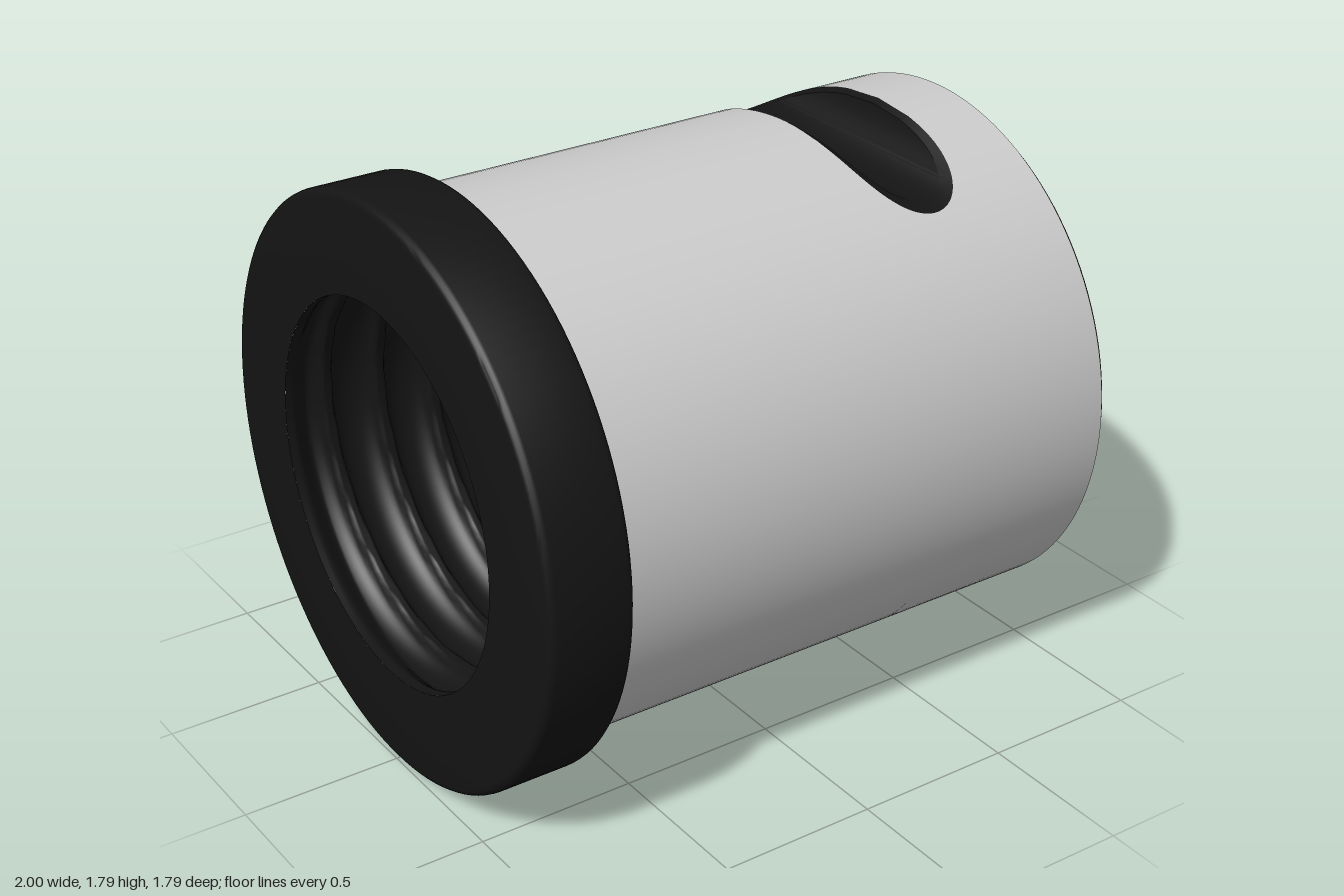
import * as THREE from 'three';
import { mergeVertices, toCreasedNormals } from 'three/addons/utils/BufferGeometryUtils.js';

const FLANGE_R = 0.895, BODY_R = 0.828, BORE_R = 0.59;
const SLOT = { x: 0.585, y: 0.84, steps: 40 };

// Surface grid: f(i, j) gives a point, the front face looks along du x dv
function grid(nu, nv, f) {
  const pos = [], idx = [];
  for (let i = 0; i <= nu; i++) for (let j = 0; j <= nv; j++) pos.push(...f(i, j));
  for (let i = 0; i < nu; i++) for (let j = 0; j < nv; j++) {
    const a = i * (nv + 1) + j, b = a + nv + 1;
    idx.push(a, b, a + 1, b, b + 1, a + 1);
  }
  const g = new THREE.BufferGeometry();
  g.setAttribute('position', new THREE.Float32BufferAttribute(pos, 3));
  g.setIndex(idx);
  g.computeVertexNormals();
  return g;
}

// Lathe about the x axis from [x, radius] pairs
function latheX(pairs) {
  const g = new THREE.LatheGeometry(pairs.map(([x, r]) => new THREE.Vector2(r, x)), 128);
  g.rotateZ(-Math.PI / 2);
  return toCreasedNormals(g, 0.5);
}

// Rim of a round cutter of radius r meeting a cylinder of radius R, at step i
function slotRim(i, r, R) {
  const start = Math.asin((SLOT.y - R) / r);
  const a = start + (Math.PI - 2 * start) * i / SLOT.steps;
  const y = Math.min(R, SLOT.y - r * Math.sin(a));
  return { x: SLOT.x - r * Math.cos(a), y, z: Math.sqrt(Math.max(0, R * R - y * y)) };
}

export function createModel() {
  const group = new THREE.Group();
  const grey = new THREE.MeshStandardMaterial({ color: 0xcccccc });
  const dark = new THREE.MeshStandardMaterial({ color: 0x141414 });
  const add = (name, geometry, material) => {
    const mesh = new THREE.Mesh(geometry, material);
    mesh.name = name;
    mesh.position.y = FLANGE_R;
    group.add(mesh);
  };

  // Flange with rounded edges
  const c = 0.025, flange = [[-1, BORE_R]];
  for (let k = 0; k <= 4; k++) {
    const a = k * Math.PI / 8;
    flange.push([-1 + c - c * Math.cos(a), FLANGE_R - c + c * Math.sin(a)]);
  }
  for (let k = 0; k <= 4; k++) {
    const a = k * Math.PI / 8;
    flange.push([-0.73 - c + c * Math.sin(a), FLANGE_R - c + c * Math.cos(a)]);
  }
  flange.push([-0.73, BODY_R - 0.01]);
  add('flange', latheX(flange), dark);

  // Outer sleeve, opened along the rim of the slot
  const stations = [{ x: -0.74, z: 0, y: BODY_R }];
  for (let i = 0; i <= SLOT.steps; i++) stations.push(slotRim(i, 0.175, BODY_R));
  stations.push({ x: 0.985, z: 0, y: BODY_R });
  const sleeve = grid(stations.length - 1, 128, (i, j) => {
    const s = stations[i], open = Math.atan2(s.z, s.y);
    const a = open + (2 * Math.PI - 2 * open) * j / 128;
    return [s.x, BODY_R * Math.cos(a), -BODY_R * Math.sin(a)];
  });
  const p = sleeve.attributes.position;
  for (let i = 0; i < p.count; i++) {
    sleeve.attributes.normal.setXYZ(i, 0, p.getY(i) / BODY_R, p.getZ(i) / BODY_R);
  }
  add('sleeve', sleeve, grey);

  // Slot: bevelled rim and round floor running straight across
  const slot = grid(SLOT.steps, 3, (i, j) => {
    const q = j === 0 || j === 3 ? slotRim(i, 0.175, BODY_R) : slotRim(i, 0.155, BODY_R - 0.012);
    return [q.x, q.y, j < 2 ? q.z : -q.z];
  });
  add('slot', toCreasedNormals(slot, 0.5), dark);

  // Chamfer and flat face at the open end
  add('endFace', latheX([[0.985, BODY_R], [1, BODY_R - 0.015], [1, BORE_R]]), dark);

  // Bore with a round helical groove that fades out at both ends
  const pitch = 0.18, nx = 240, na = 96;
  const bore = grid(nx, na, (i, j) => {
    const x = -1 + 2 * i / nx, turn = j / na, a = turn * 2 * Math.PI;
    const phase = x / pitch + turn;
    const u = ((phase - Math.floor(phase)) * 2 - 1) / 0.8;
    const fade = Math.min(1, Math.max(0, (0.97 - Math.abs(x)) / 0.06));
    const r = BORE_R + 0.05 * fade * Math.sqrt(Math.max(0, 1 - u * u));
    return [x, r * Math.cos(a), r * Math.sin(a)];
  });
  bore.deleteAttribute('normal');
  const welded = mergeVertices(bore, 1e-5);
  welded.computeVertexNormals();
  add('threadedBore', welded, dark);

  return group;
}
